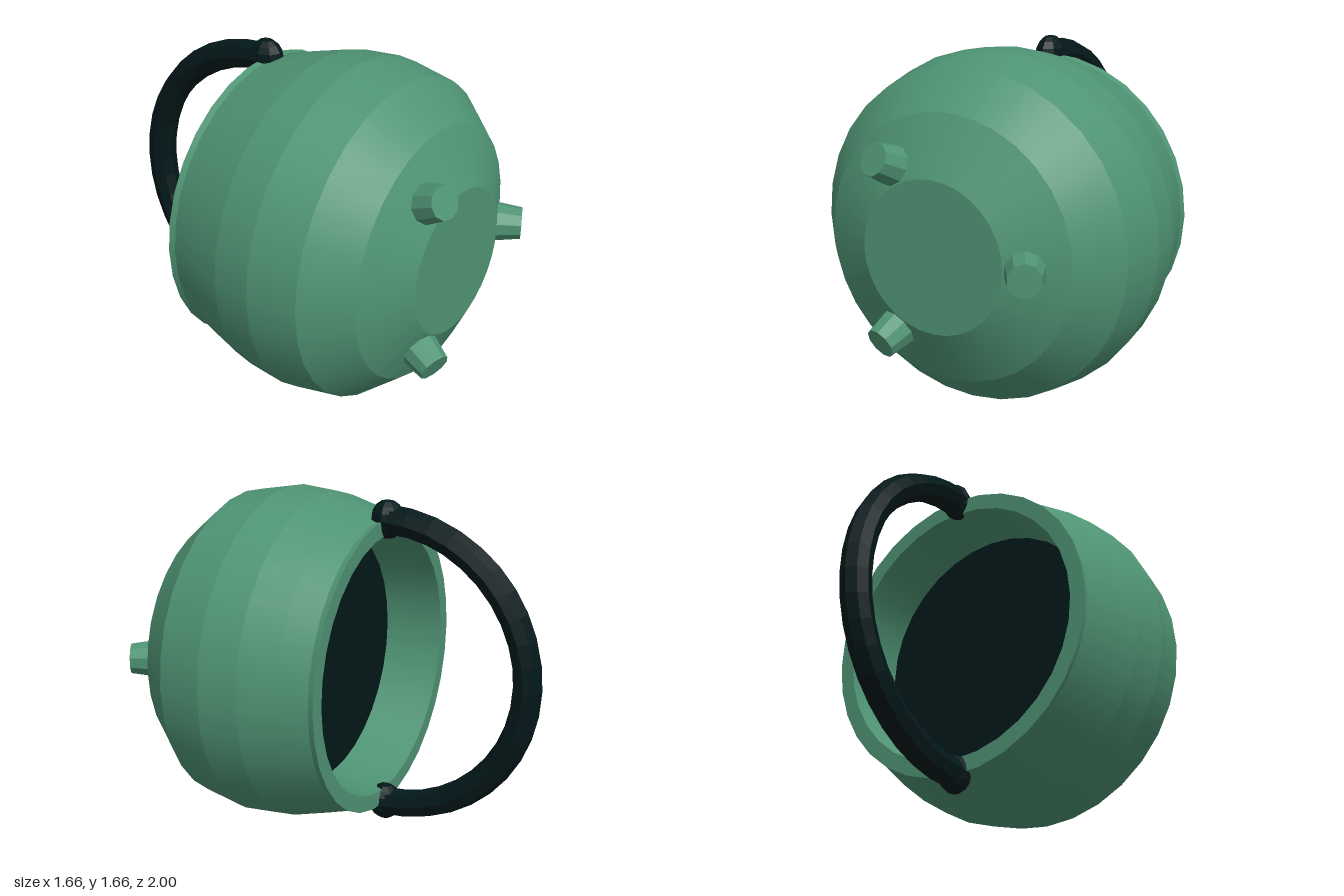
import * as THREE from 'three';
import { mergeGeometries } from 'three/addons/utils/BufferGeometryUtils.js';

const CY = 0.832; // height of the pot's axis, which runs along z

const toPoints = (list) => list.map(([r, z]) => new THREE.Vector2(r, z));

// Gives every face its own flat normal
function faceted(geometry) {
  const flat = geometry.toNonIndexed();
  flat.computeVertexNormals();
  return flat;
}

export function createModel() {
  const green = new THREE.MeshStandardMaterial({ color: 0x4f9474 });
  green.name = 'green enamel';
  const dark = new THREE.MeshStandardMaterial({ color: 0x03181a });
  dark.name = 'dark iron';

  const model = new THREE.Group();
  model.name = 'cauldron';
  const add = (name, geometry, material, parent) => {
    const mesh = new THREE.Mesh(geometry, material);
    mesh.name = name;
    parent.add(mesh);
    return mesh;
  };

  // Everything is laid out around the z axis, then lifted
  const pot = new THREE.Group();
  pot.name = 'pot';
  pot.position.y = CY;
  model.add(pot);

  // Outside of the pot: rim, belly and flat base as [radius, z]
  const outside = toPoints([
    [0.655, -0.2], [0.734, -0.2], [0.726, -0.17], [0.767, -0.03], [0.816, 0.15],
    [0.832, 0.345], [0.788, 0.58], [0.622, 0.775], [0.355, 0.908], [0, 0.908],
  ]);
  // One lathe per band keeps the rings crisp but smooth around
  const bands = outside.slice(1).map((p, i) => new THREE.LatheGeometry([outside[i], p], 32));
  add('potBody', mergeGeometries(bands).rotateX(Math.PI / 2), green, pot);

  // Smooth bowl inside, from its floor out to the rim
  const inside = toPoints([
    [0, 0.8], [0.32, 0.77], [0.52, 0.6], [0.605, 0.36], [0.626, 0.1], [0.655, -0.2],
  ]);
  add('potInside', new THREE.LatheGeometry(inside, 32).rotateX(Math.PI / 2), green, pot);

  // Dark contents, reaching into the bowl wall
  add('contents', new THREE.CircleGeometry(0.64, 32).rotateY(Math.PI).translate(0, 0, 0.1), dark, pot);

  // Three splayed tapered feet
  const tilt = THREE.MathUtils.degToRad(28);
  for (let i = 0; i < 3; i++) {
    const foot = faceted(new THREE.CylinderGeometry(0.077, 0.106, 0.2, 10));
    foot.rotateX(Math.PI / 2).rotateY(tilt).translate(0.447, 0, 0.876);
    foot.rotateZ((i * Math.PI * 2) / 3);
    add('foot' + (i + 1), foot, green, pot);
  }

  // Half-ring handle behind the opening, with a knob at each end
  const handle = new THREE.Group();
  handle.name = 'handle';
  handle.position.z = -0.2;
  pot.add(handle);
  const ring = faceted(new THREE.TorusGeometry(0.728, 0.072, 8, 20, Math.PI));
  add('handleRing', ring.rotateZ(Math.PI / 2).rotateY(-Math.PI / 2), dark, handle);
  for (const side of [1, -1]) {
    const knob = faceted(new THREE.SphereGeometry(1, 8, 8));
    knob.scale(0.073, 0.094, 0.087).translate(0, side * 0.728, 0);
    knob.computeVertexNormals();
    add(side > 0 ? 'topKnob' : 'bottomKnob', knob, dark, handle);
  }
  return model;
}
